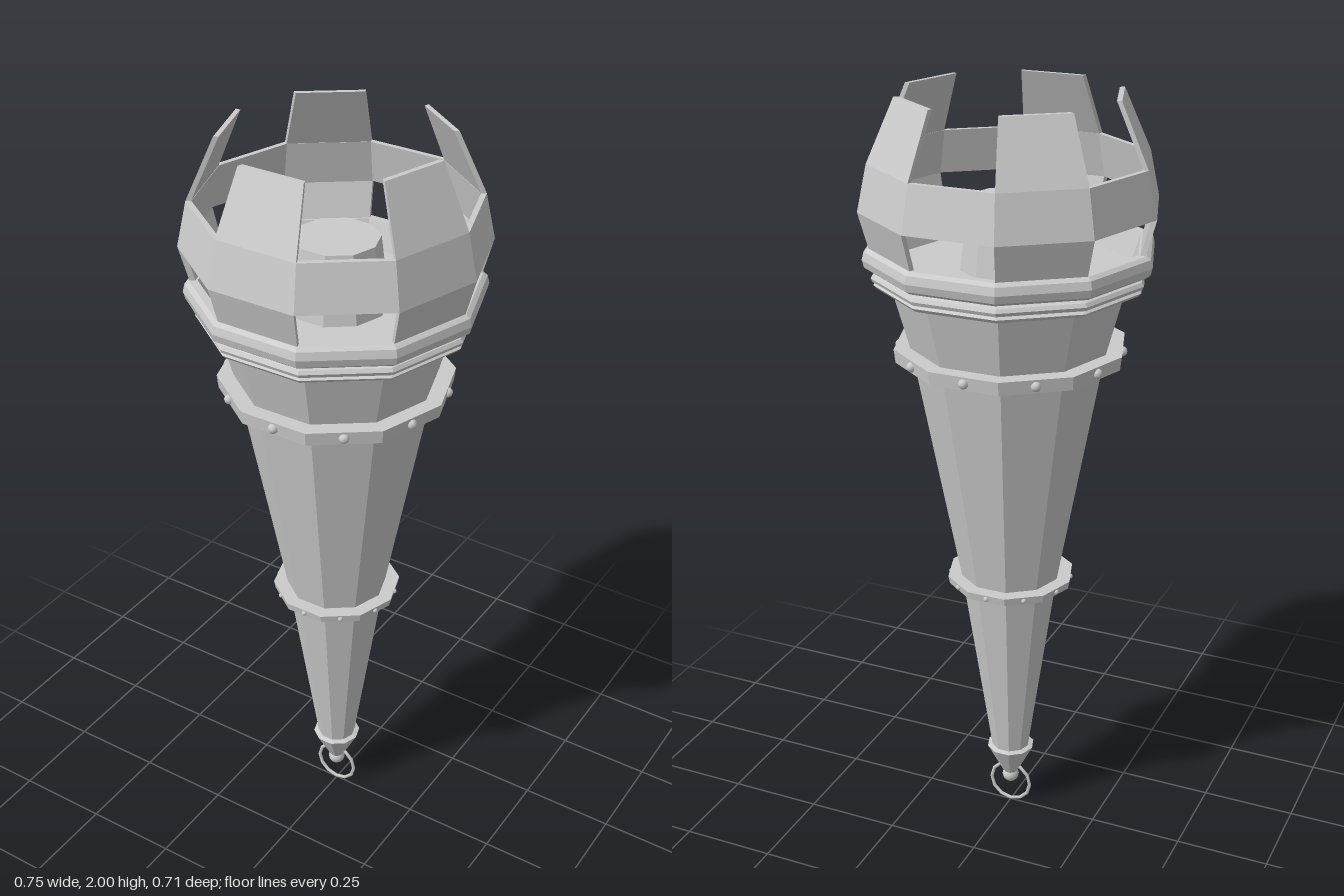
import * as THREE from 'three';

const SIDES = 10;
const STEP = (Math.PI * 2) / SIDES;

export function createModel() {
  const torch = new THREE.Group();
  torch.name = 'torch';
  const flat = new THREE.MeshStandardMaterial({ color: 0xcccccc, flatShading: true });
  const smooth = new THREE.MeshStandardMaterial({ color: 0xcccccc });

  const add = (name, geometry, material = flat, parent = torch) => {
    const mesh = new THREE.Mesh(geometry, material);
    mesh.name = name;
    parent.add(mesh);
    return mesh;
  };

  // Ten-sided turned part; profile is [radius, y], outer side running upward
  const turned = (name, profile) => add(name, new THREE.LatheGeometry(
    profile.map(([r, y]) => new THREE.Vector2(r, y)), SIDES, STEP / 2));

  // One facet-wide plate bent from a box: radius r0 at y0 to r1 at y1
  const plate = (name, index, r0, y0, r1, y1, thickness) => {
    const geometry = new THREE.BoxGeometry(1, 1, 1);
    const p = geometry.attributes.position;
    for (let i = 0; i < p.count; i++) {
      const angle = (index + p.getX(i)) * STEP;
      const up = p.getY(i) + 0.5;
      const r = r0 + (r1 - r0) * up - (0.5 - p.getZ(i)) * thickness;
      p.setXYZ(i, Math.sin(angle) * r, y0 + (y1 - y0) * up, Math.cos(angle) * r);
    }
    geometry.computeVertexNormals();
    add(name, geometry);
  };

  // Tapered handle and flared cup
  turned('handle', [[0, 0.18], [0.05, 0.18], [0.13, 0.72], [0.25, 1.36]]);
  turned('cup', [[0.25, 1.36], [0.305, 1.56]]);

  // Flange bands with a rivet at the middle of each facet
  const band = (name, y0, y1, inner, outer, rivetSize) => {
    turned(name, [[inner, y0], [outer - 0.004, y0], [outer, y1], [inner, y1], [inner, y0]]);
    const rivets = new THREE.Group();
    rivets.name = name + 'Rivets';
    torch.add(rivets);
    const reach = outer * Math.cos(STEP / 2) - 0.002;
    for (let i = 0; i < SIDES; i++) {
      add('rivet', new THREE.SphereGeometry(rivetSize, 10, 8), smooth, rivets)
        .position.set(Math.sin(i * STEP) * reach, (y0 + y1) / 2, Math.cos(i * STEP) * reach);
    }
  };
  band('lowerBand', 0.711, 0.732, 0.12, 0.169, 0.007);
  band('upperBand', 1.343, 1.378, 0.235, 0.297, 0.013);

  // Stepped moulding under the rim
  turned('moulding', [[0.29, 1.538], [0.334, 1.538], [0.342, 1.547], [0.334, 1.553],
    [0.344, 1.556], [0.348, 1.565], [0.342, 1.574], [0.325, 1.58], [0.325, 1.59]]);

  // Rounded rim, its sloping inside wall and the floor
  turned('rim', [[0.31, 1.585], [0.352, 1.585], [0.363, 1.593], [0.368, 1.612],
    [0.363, 1.632], [0.352, 1.64], [0.331, 1.64], [0.31, 1.57], [0, 1.57]]);

  // Raised fuel block in the middle
  turned('fuelBlock', [[0.127, 1.57], [0.106, 1.745], [0, 1.745]]);

  // Basket: hoop carried by five posts, with a prong above each post
  turned('basketHoop', [[0.361, 1.73], [0.375, 1.73], [0.35, 1.845], [0.336, 1.845], [0.361, 1.73]]);
  for (let i = 0; i < SIDES; i += 2) {
    plate('basketPost', i, 0.345, 1.62, 0.375, 1.73, 0.014);
    plate('basketProng', i, 0.35, 1.845, 0.28, 2, 0.013);
  }

  // Pointed end cap, ball and hanging ring
  turned('endCap', [[0, 0.1], [0.02, 0.1], [0.065, 0.188], [0.05, 0.193], [0, 0.193]]);
  add('endBall', new THREE.SphereGeometry(0.023, 14, 10), smooth).position.y = 0.087;
  add('hangingRing', new THREE.TorusGeometry(0.058, 0.005, 6, 12), smooth).position.y = 0.063;

  return torch;
}
